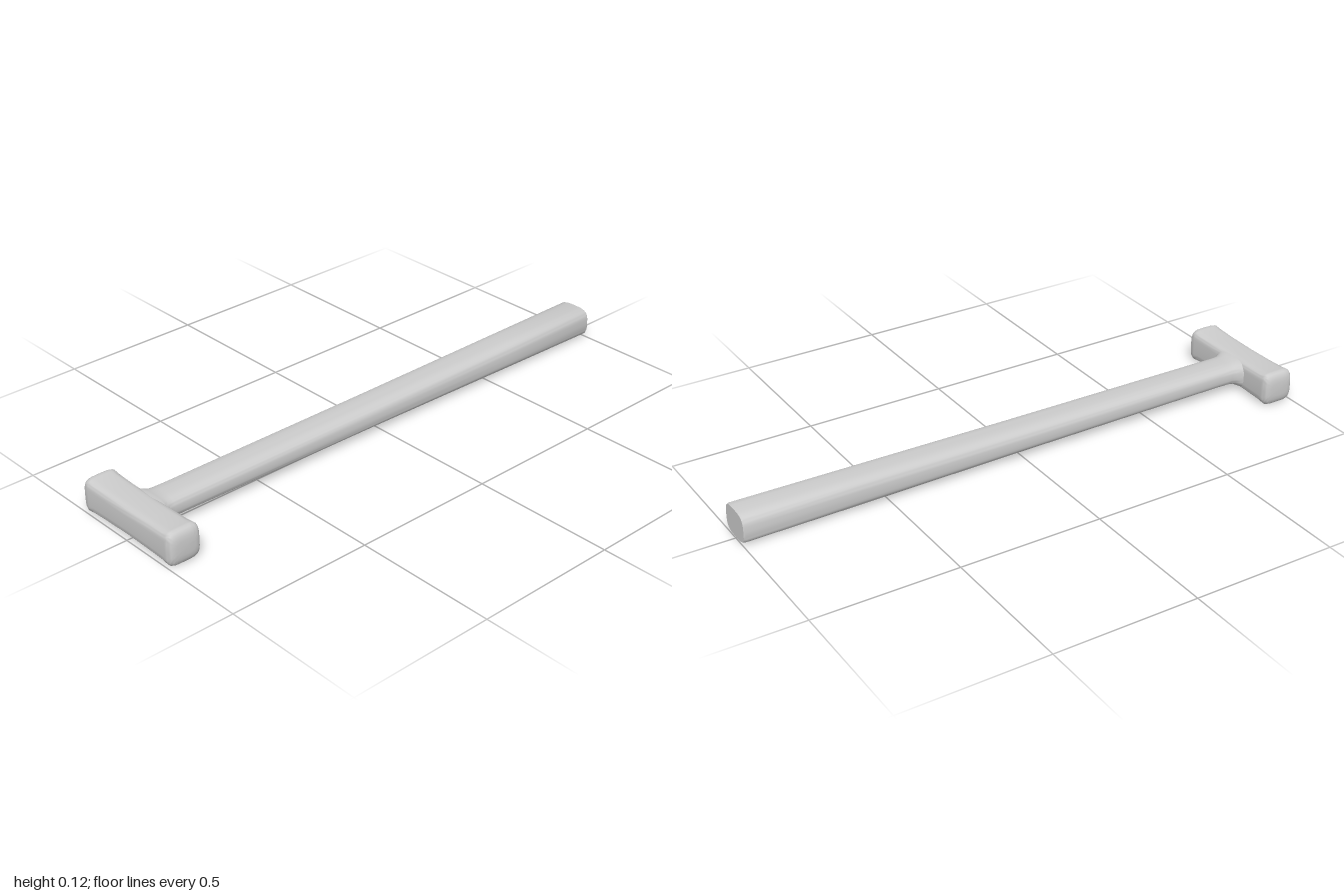
import * as THREE from 'three';
import { toCreasedNormals } from 'three/addons/utils/BufferGeometryUtils.js';

const SIDES = 40;

// Lofts rounded-rectangle sections along x: [x, centreY, centreZ, halfY, halfZ, squareness]
function loft(sections) {
  const positions = [];
  const index = [];
  const bend = (v, power) => Math.sign(v) * Math.pow(Math.abs(v), 2 / power);
  for (const [x, cy, cz, hy, hz, power] of sections) {
    for (let j = 0; j < SIDES; j++) {
      const t = (j / SIDES) * Math.PI * 2;
      positions.push(x, cy + hy * bend(Math.cos(t), power), cz + hz * bend(Math.sin(t), power));
    }
  }
  const last = sections.length - 1;
  for (let i = 0; i < last; i++) {
    for (let j = 0; j < SIDES; j++) {
      const k = (j + 1) % SIDES;
      const a = i * SIDES + j, b = i * SIDES + k;
      index.push(a, b, a + SIDES, b, b + SIDES, a + SIDES);
    }
  }
  // Flat end caps
  const start = positions.length / 3;
  for (const i of [0, last]) positions.push(...sections[i].slice(0, 3));
  for (let j = 0; j < SIDES; j++) {
    const k = (j + 1) % SIDES;
    index.push(start, k, j, start + 1, last * SIDES + j, last * SIDES + k);
  }
  const geometry = new THREE.BufferGeometry();
  geometry.setAttribute('position', new THREE.Float32BufferAttribute(positions, 3));
  geometry.setIndex(index);
  return toCreasedNormals(geometry, 0.75);
}

export function createModel() {
  const model = new THREE.Group();
  model.name = 'hammer';
  const material = new THREE.MeshStandardMaterial({ color: 0xcccccc });

  // Head: waisted block with softly domed striking faces, mirrored about its middle
  const half = [
    [0, 0.052, 0.055, 5],
    [0.1, 0.0535, 0.0555, 5],
    [0.17, 0.056, 0.0565, 5],
    [0.19, 0.0585, 0.0575, 5],
    [0.2, 0.0595, 0.0575, 5],
    [0.208, 0.056, 0.056, 4.5],
    [0.214, 0.049, 0.052, 4],
    [0.218, 0.038, 0.045, 3.5],
    [0.22, 0.024, 0.034, 3],
  ];
  const section = (side) => ([d, hy, hx, power]) => [side * d, 0.062, 0, hy, hx, power];
  const head = new THREE.Mesh(
    loft([...half.slice(1).reverse().map(section(-1)), ...half.map(section(1))]),
    material
  );
  head.name = 'head';
  head.rotation.y = -Math.PI / 2;
  head.position.x = -0.9425;
  model.add(head);

  // Handle: flares into the head, then thickens gently towards its cut-off grip end
  const handle = new THREE.Mesh(loft([
    [-0.93, 0.062, -0.015, 0.05, 0.09, 3.5],
    [-0.893, 0.062, -0.015, 0.049, 0.085, 3.2],
    [-0.882, 0.063, -0.015, 0.045, 0.073, 3.1],
    [-0.868, 0.065, -0.015, 0.04, 0.064, 3],
    [-0.85, 0.066, -0.015, 0.038, 0.061, 3],
    [-0.8, 0.066, -0.014, 0.038, 0.06, 3],
    [0, 0.062, -0.009, 0.044, 0.062, 3],
    [0.6, 0.059, -0.005, 0.05, 0.064, 3.2],
    [0.994, 0.0575, -0.002, 0.0525, 0.066, 3.4],
    [1, 0.0575, -0.002, 0.05, 0.063, 3.4],
  ]), material);
  handle.name = 'handle';
  model.add(handle);

  return model;
}
